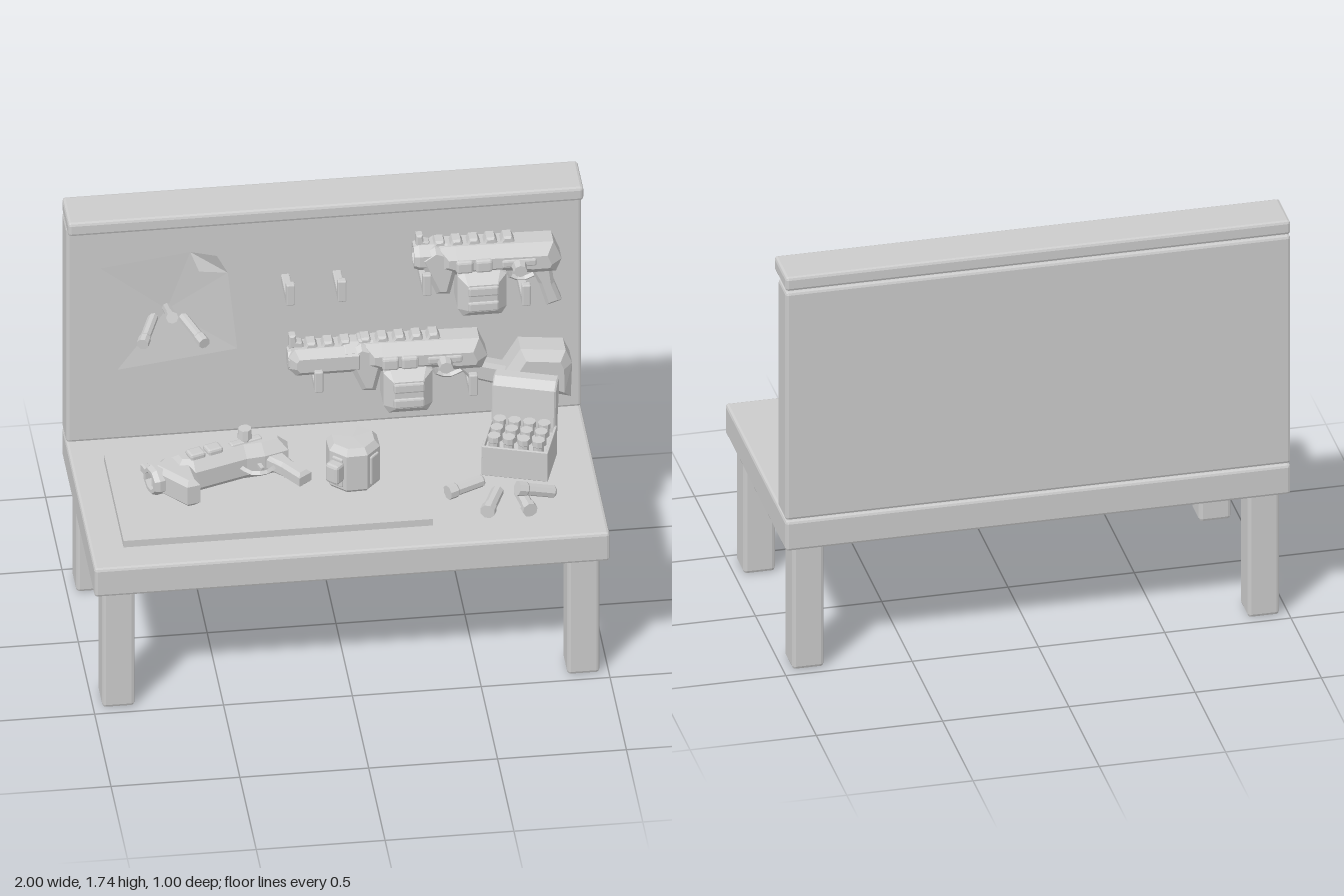
import * as THREE from 'three';
import { RoundedBoxGeometry } from 'three/addons/geometries/RoundedBoxGeometry.js';

const grey = new THREE.MeshStandardMaterial({ color: 0xcccccc, flatShading: true });
const thin = new THREE.MeshStandardMaterial({ color: 0xcccccc, flatShading: true, side: THREE.DoubleSide });

function add(parent, name, geometry, x = 0, y = 0, z = 0, material = grey) {
  const mesh = new THREE.Mesh(geometry, material);
  mesh.name = name;
  mesh.position.set(x, y, z);
  parent.add(mesh);
  return mesh;
}

// Chamfered box given by its lower and upper limits
function block(parent, name, [x0, x1], [y0, y1], [z0, z1], r = 0.01) {
  const geo = new RoundedBoxGeometry(x1 - x0, y1 - y0, z1 - z0, 1, r);
  return add(parent, name, geo, (x0 + x1) / 2, (y0 + y1) / 2, (z0 + z1) / 2);
}

// Side profile extruded to a thickness around z = 0, with chamfered edges
function plate(parent, name, points, t, b, z = 0) {
  const shape = new THREE.Shape(points.map(([x, y]) => new THREE.Vector2(x, y)));
  const geo = new THREE.ExtrudeGeometry(shape, {
    depth: t - 2 * b, bevelThickness: b, bevelSize: b, bevelOffset: -b, bevelSegments: 1,
  });
  geo.translate(0, 0, b - t / 2);
  return add(parent, name, geo, 0, 0, z);
}

// Ridge blocks along the top of a barrel
function ridges(g, x0, count, y) {
  for (let i = 0; i < count; i++) {
    const x = x0 + i * 0.066;
    plate(g, 'topRidge', [[x, y], [x + 0.06, y], [x + 0.046, y + 0.03], [x + 0.014, y + 0.03]], 0.06, 0.008);
  }
}

// Hollow eight-sided barrel pointing along -x
function barrel(g, name, x0, x1, y, r) {
  const w = x1 - x0;
  const profile = [[0, 0.05], [r * 0.6, 0.05], [r * 0.6, w], [r * 0.85, w], [r, w - 0.02], [r, 0], [0, 0]]
    .map(([a, h]) => new THREE.Vector2(a, h)).reverse();
  const geo = new THREE.LatheGeometry(profile, 8, Math.PI / 8);
  geo.rotateZ(Math.PI / 2);
  add(g, name, geo, x1, y, 0);
}

function sight(g, x) {
  plate(g, 'frontSight', [[x - 0.03, 0.06], [x + 0.03, 0.06], [x + 0.02, 0.085], [x, 0.09], [x - 0.005, 0.118], [x - 0.03, 0.118]], 0.04, 0.006);
}

// Toy blaster, origin at the bolt, muzzle towards -x
function blaster(name, { magazine = false, long = false }) {
  const g = new THREE.Group();
  g.name = name;
  plate(g, 'receiver', [[-0.31, -0.03], [-0.24, -0.06], [-0.02, -0.06], [0.05, -0.075], [0.15, -0.075],
    [0.172, -0.02], [0.14, 0.062], [-0.24, 0.07], [-0.31, 0.07]], 0.155, 0.04);
  plate(g, 'foreGrip', [[-0.385, 0.03], [-0.315, -0.14], [-0.262, -0.145], [-0.235, -0.03], [-0.25, 0.05], [-0.32, 0.075]], 0.12, 0.02);
  ridges(g, -0.33, 5, 0.06);
  barrel(g, 'muzzle', -0.4, -0.27, 0.02, 0.062);
  for (const x of [-0.21, -0.135]) block(g, 'sideButton', [x - 0.033, x + 0.033], [-0.025, 0.03], [0.05, 0.095], 0.01);
  // Bolt with its slot
  block(g, 'boltSlot', [-0.065, 0.07], [-0.017, 0.017], [0.05, 0.085], 0.008);
  add(g, 'bolt', new THREE.CylinderGeometry(0.017, 0.017, 0.08, 8).rotateX(Math.PI / 2), 0, 0, 0.09);
  add(g, 'boltKnob', new THREE.CylinderGeometry(0.026, 0.03, 0.04, 8).rotateX(Math.PI / 2), 0, 0, 0.118);
  // Trigger guard
  const guard = new THREE.CatmullRomCurve3([[-0.04, -0.055], [-0.02, -0.11], [0.03, -0.125], [0.085, -0.1]]
    .map(([x, y]) => new THREE.Vector3(x, y, 0)));
  add(g, 'triggerGuard', new THREE.TubeGeometry(guard, 6, 0.011, 4));
  plate(g, 'trigger', [[0.02, -0.06], [0.04, -0.06], [0.035, -0.1], [0.02, -0.105]], 0.02, 0.003);

  if (magazine) {
    plate(g, 'magazine', [[-0.235, -0.05], [-0.235, -0.2], [-0.215, -0.235], [-0.065, -0.235], [-0.045, -0.2], [-0.045, -0.05],
      [-0.07, -0.035], [-0.21, -0.035]], 0.19, 0.04, 0.012);
    for (const y of [-0.1, -0.17]) block(g, 'magazineRib', [-0.2, -0.08], [y - 0.022, y + 0.022], [0.08, 0.115], 0.008);
  }
  if (long) {
    plate(g, 'longBarrel', [[-0.6, 0.03], [-0.575, 0.065], [-0.3, 0.065], [-0.3, -0.055], [-0.57, -0.055], [-0.6, -0.02]], 0.13, 0.03);
    barrel(g, 'longMuzzle', -0.6, -0.5, 0.005, 0.05);
    ridges(g, -0.54, 4, 0.055);
    sight(g, -0.565);
    plate(g, 'stockNeck', [[0.05, -0.06], [0.15, -0.06], [0.28, -0.1], [0.31, -0.2], [0.24, -0.18], [0.1, -0.13]], 0.07, 0.015);
    plate(g, 'stock', [[0.24, -0.1], [0.3, 0], [0.475, -0.02], [0.5, -0.08], [0.495, -0.235], [0.43, -0.215], [0.25, -0.17]], 0.155, 0.035);
  } else {
    sight(g, -0.36);
    plate(g, 'grip', [[0.05, -0.06], [0.135, -0.06], [0.145, -0.14], [0.175, -0.225], [0.115, -0.245], [0.085, -0.14]], 0.065, 0.014);
  }
  return g;
}

// Cartridge running from one point to another, with a wider rim at its end
function cartridge(parent, name, from, to, r) {
  const a = new THREE.Vector3(...from), b = new THREE.Vector3(...to);
  const len = a.distanceTo(b);
  const profile = [[0, 0], [r * 1.2, 0], [r * 1.2, len * 0.22], [r, len * 0.26], [r, len - 0.008], [r * 0.75, len], [0, len]];
  const mesh = add(parent, name, new THREE.LatheGeometry(profile.map((p) => new THREE.Vector2(...p)), 8), ...from);
  mesh.quaternion.setFromUnitVectors(new THREE.Vector3(0, 1, 0), b.sub(a).normalize());
}

export function createModel() {
  const model = new THREE.Group();
  model.name = 'workbench';

  // Bench and back board
  block(model, 'benchTop', [-1, 1], [0.54, 0.67], [-0.5, 0.5], 0.012);
  block(model, 'backBoard', [-1, 1], [0.675, 1.67], [-0.5, -0.37], 0.012);
  block(model, 'topRail', [-1, 1], [1.675, 1.735], [-0.5, -0.305], 0.012);
  for (const sx of [-1, 1]) for (const sz of [-1, 1]) {
    const x = sx * 0.902, z = sz * 0.4;
    block(model, 'leg', [x - 0.063, x + 0.063], [0, 0.545], [z - 0.065, z + 0.065], 0.014);
  }
  add(model, 'workMat', new THREE.BoxGeometry(1.2, 0.04, 0.6), -0.27, 0.68, 0.06);

  // Wall hooks with upturned tips
  for (const [x, y] of [[-0.15, 1.355], [0.05, 1.355], [0.38, 1.355], [0.765, 1.275], [-0.04, 0.94], [0.56, 0.875]]) {
    const hook = new THREE.Group();
    hook.name = 'wallHook';
    block(hook, 'hookArm', [x - 0.017, x + 0.017], [y, y + 0.035], [-0.38, -0.2], 0.005);
    block(hook, 'hookTip', [x - 0.017, x + 0.017], [y, y + 0.095], [-0.23, -0.2], 0.005);
    model.add(hook);
  }

  // Blasters: two on the wall, one lying on the mat
  const short = blaster('shortBlaster', { magazine: true });
  short.position.set(0.735, 1.475, -0.285);
  const long = blaster('longBlaster', { magazine: true, long: true });
  long.position.set(0.447, 1.05, -0.285);
  const lying = blaster('lyingBlaster', {});
  lying.rotation.set(-Math.PI / 2, 0, 0.33);
  lying.position.set(-0.35, 0.78, -0.03);
  model.add(short, long, lying);

  // Pinned sheet with curled edges and a folded corner
  const rim = [[-0.87, 1.49, -0.35], [-0.805, 1.02, -0.34], [-0.34, 1.08, -0.34], [-0.375, 1.425, -0.355], [-0.52, 1.53, -0.36]];
  const sheet = [];
  rim.forEach((p, i) => sheet.push(-0.61, 1.27, -0.364, ...p, ...rim[(i + 1) % rim.length]));
  sheet.push(-0.52, 1.53, -0.36, -0.375, 1.425, -0.355, -0.49, 1.46, -0.325);
  sheet.push(-0.52, 1.53, -0.36, -0.375, 1.425, -0.355, -0.42, 1.52, -0.335);
  const sheetGeo = new THREE.BufferGeometry();
  sheetGeo.setAttribute('position', new THREE.Float32BufferAttribute(sheet, 3));
  sheetGeo.computeVertexNormals();
  add(model, 'pinnedSheet', sheetGeo, 0, 0, 0, thin);
  cartridge(model, 'dart', [-0.61, 1.34, -0.2], [-0.61, 1.275, -0.37], 0.02);
  cartridge(model, 'dart', [-0.725, 1.225, -0.2], [-0.66, 1.24, -0.37], 0.02);
  cartridge(model, 'dart', [-0.485, 1.21, -0.2], [-0.55, 1.23, -0.37], 0.02);

  // Eight-sided canister with raised panels and a handle
  const can = new THREE.Group();
  can.name = 'canister';
  const canProfile = [[0, 0], [0.095, 0], [0.107, 0.015], [0.107, 0.17], [0.085, 0.195], [0, 0.197]];
  add(can, 'canisterBody', new THREE.LatheGeometry(canProfile.map((p) => new THREE.Vector2(...p)), 8, Math.PI / 8));
  for (let i = 0; i < 8; i += 2) {
    const panel = new THREE.Group();
    block(panel, 'sidePanel', [-0.025, 0.025], [0.025, 0.155], [0.085, 0.107], 0.006);
    panel.rotation.y = i * Math.PI / 4;
    can.add(panel);
  }
  block(can, 'handle', [-0.03, 0.03], [0.055, 0.14], [0.09, 0.145], 0.012);
  can.position.set(0.06, 0.698, 0.045);
  can.rotation.y = -0.75;
  model.add(can);

  // Open ammunition box with a raised lid
  const box = new THREE.Group();
  box.name = 'cartridgeBox';
  block(box, 'boxBase', [-0.13, 0.13], [0, 0.11], [-0.09, 0.105], 0.004);
  for (const s of [-1, 1]) {
    block(box, 'boxSide', s < 0 ? [-0.13, -0.12] : [0.12, 0.13], [0.08, 0.135], [-0.09, 0.105], 0.003);
    block(box, 'boxEnd', [-0.13, 0.13], [0.08, 0.135], s < 0 ? [-0.09, -0.08] : [0.095, 0.105], 0.003);
  }
  const lid = plate(box, 'boxLid', [[0.075, 0], [0.075, 0.13], [0.09, 0.29], [0.125, 0.315], [0.165, 0.315], [0.165, 0.27], [0.13, 0.13], [0.12, 0]], 0.25, 0.006);
  lid.rotation.y = Math.PI / 2;
  for (let i = 0; i < 4; i++) for (let j = 0; j < 3; j++) {
    const x = -0.087 + i * 0.058, z = -0.05 + j * 0.06;
    cartridge(box, 'boxedCartridge', [x, 0.17, z], [x, 0.06, z], 0.021);
  }
  box.position.set(0.715, 0.668, -0.02);
  box.rotation.y = -0.31;
  model.add(box);

  // Loose cartridges on the bench
  cartridge(model, 'looseCartridge', [0.41, 0.698, 0.185], [0.555, 0.698, 0.115], 0.025);
  cartridge(model, 'looseCartridge', [0.545, 0.698, 0.335], [0.605, 0.698, 0.19], 0.025);
  cartridge(model, 'looseCartridge', [0.71, 0.698, 0.345], [0.685, 0.698, 0.205], 0.025);
  cartridge(model, 'looseCartridge', [0.67, 0.75, 0.265], [0.82, 0.698, 0.23], 0.025);
  return model;
}
